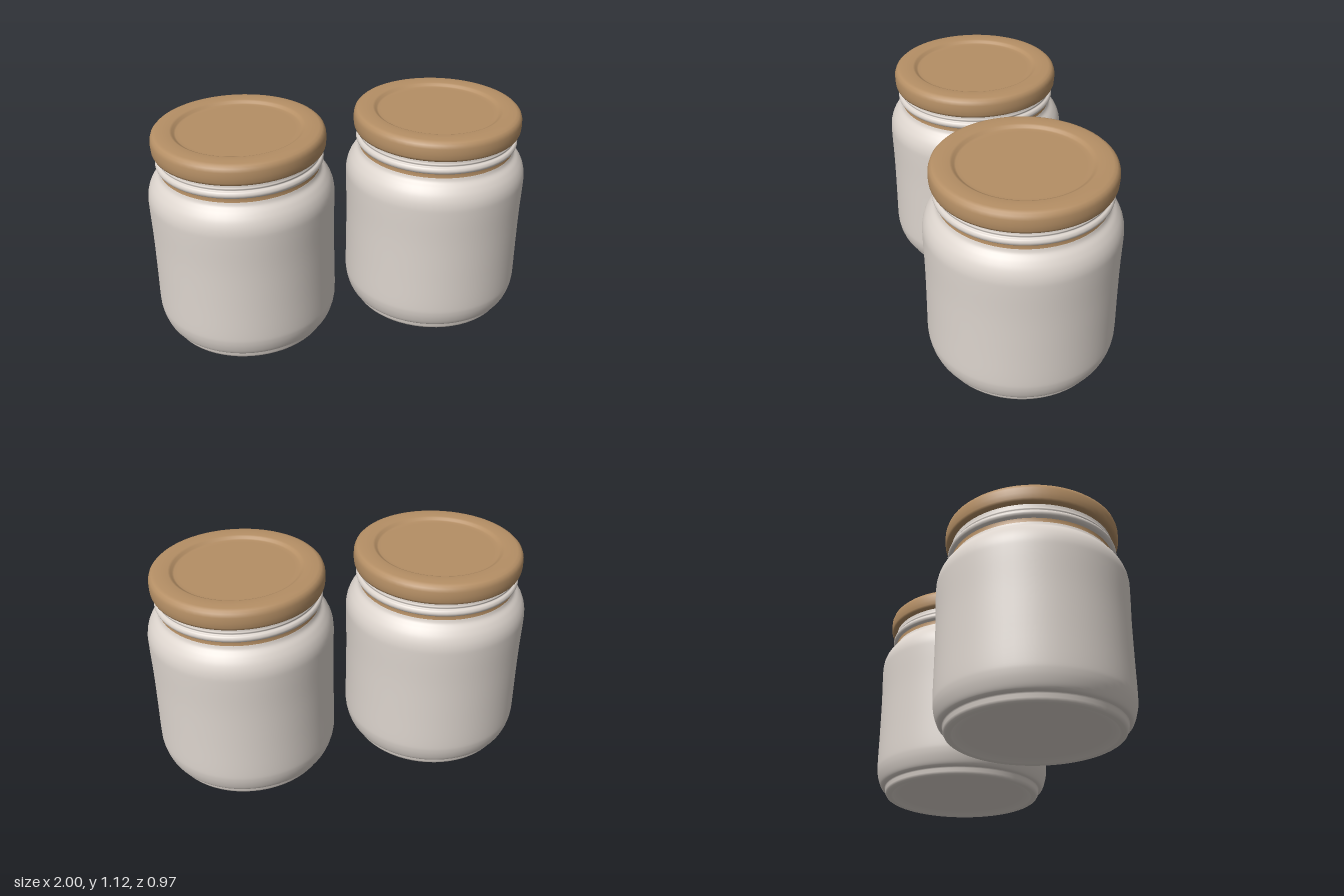
import * as THREE from 'three';

const SEGMENTS = 64;
const DEPTH = 1.012; // jars are very slightly deeper than wide

// Turn a [radius, height] profile, listed from the bottom up, into a solid of revolution
function turned(name, profile, material) {
  const points = profile.map(([r, y]) => new THREE.Vector2(r, y));
  const mesh = new THREE.Mesh(new THREE.LatheGeometry(points, SEGMENTS), material);
  mesh.name = name;
  return mesh;
}

// Smooth a coarse profile with a spline
function smooth(profile, divisions) {
  const curve = new THREE.SplineCurve(profile.map(([r, y]) => new THREE.Vector2(r, y)));
  return curve.getPoints(divisions).map((p) => [p.x, p.y]);
}

export function createModel() {
  const glass = new THREE.MeshStandardMaterial({ color: 0xdcd4cd });
  glass.name = 'pale glass';
  const tan = new THREE.MeshStandardMaterial({ color: 0xb58f65 });
  tan.name = 'tan lid';

  // Slightly hollow underside and stepped foot
  const foot = [
    [0, 0.02], [0.34, 0.02], [0.365, 0.016], [0.385, 0.004], [0.392, 0],
    [0.412, 0], [0.421, 0.006], [0.427, 0.018], [0.427, 0.036], [0.432, 0.042],
  ];
  // Straight wall with rounded heel and shoulder
  const wall = smooth([
    [0.432, 0.042], [0.449, 0.05], [0.463, 0.08], [0.474, 0.125], [0.477, 0.18],
    [0.475, 0.35], [0.474, 0.55], [0.477, 0.72], [0.475, 0.785], [0.461, 0.832],
    [0.438, 0.868], [0.414, 0.893], [0.406, 0.914],
  ], 60);
  // Tan strip around the base of the neck
  const strip = [[0.406, 0.914], [0.404, 0.925], [0.405, 0.936]];
  // Neck with a rounded bead and a thinner thread above it
  const neck = smooth([
    [0.405, 0.936], [0.418, 0.943], [0.424, 0.957], [0.419, 0.971], [0.408, 0.978],
    [0.41, 0.988], [0.407, 0.998], [0.405, 1.03],
  ], 40);
  // Lid: open skirt, rolled rim and sunken centre panel
  const lid = [
    [0.4, 1.02], [0.406, 1.014], [0.421, 1.012], [0.431, 1.018], [0.436, 1.03],
    [0.438, 1.055], [0.437, 1.085], [0.431, 1.103], [0.42, 1.114], [0.404, 1.119],
    [0.37, 1.12], [0.338, 1.119], [0.327, 1.115], [0.319, 1.106], [0.31, 1.103],
    [0.29, 1.103], [0, 1.103],
  ];

  const model = new THREE.Group();
  model.name = 'pair of jars';
  for (const [name, x] of [['leftJar', 0.522], ['rightJar', -0.522]]) {
    const jar = new THREE.Group();
    jar.name = name;
    jar.position.x = x;
    jar.scale.z = DEPTH;
    jar.add(
      turned('foot', foot, glass),
      turned('body', wall, glass),
      turned('neckStrip', strip, tan),
      turned('threadedNeck', neck, glass),
      turned('lid', lid, tan),
    );
    model.add(jar);
  }
  return model;
}
